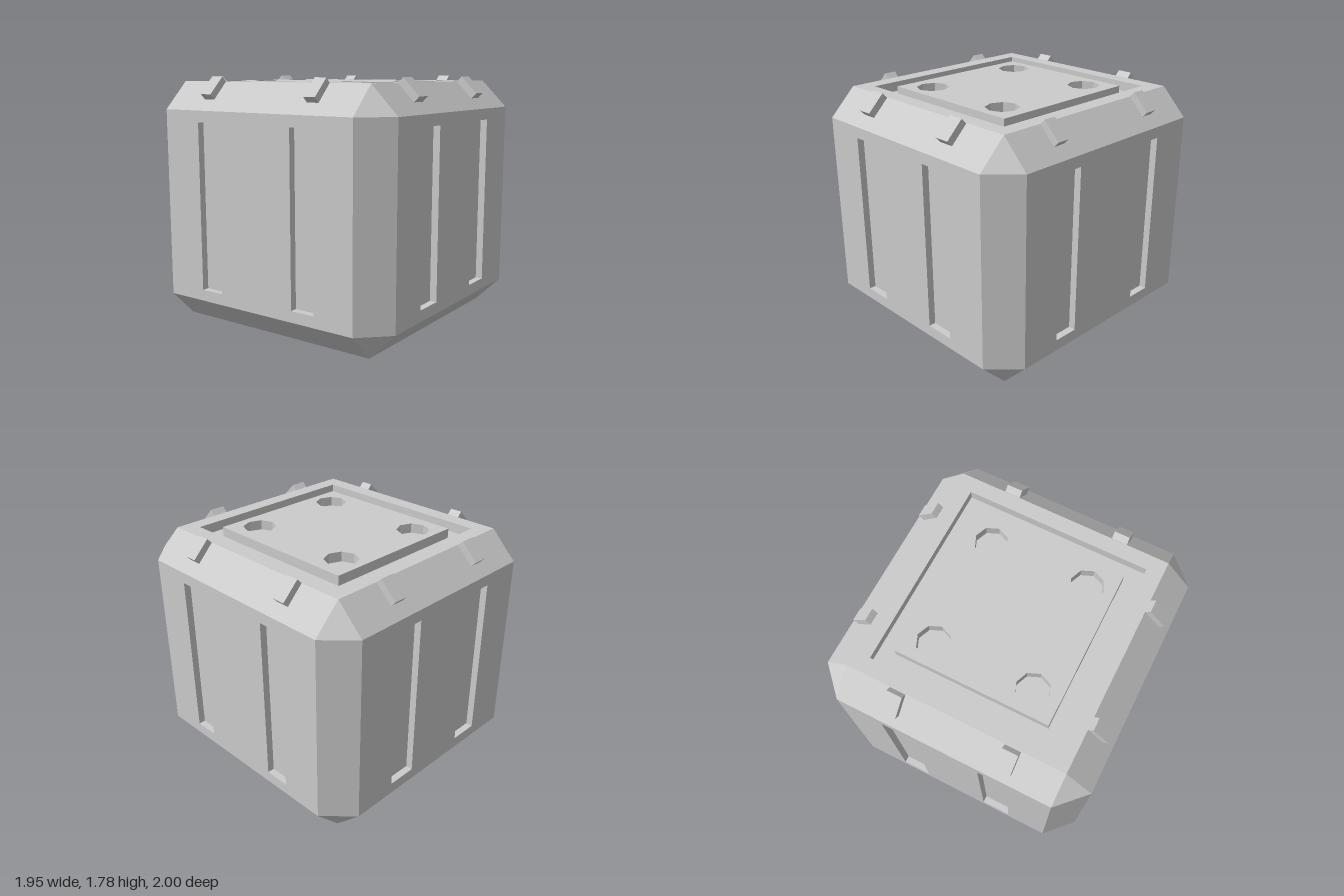
import * as THREE from 'three';

// Outer half sizes, and the half sizes of the flats left between the chamfers
const X = 0.975, Y = 0.8725, Z = 1.0;
const XI = 0.785, YI = 0.6775, ZI = 0.805;
const SLOT_DEPTH = 0.05, TOP_DEPTH = 0.07;

const material = new THREE.MeshStandardMaterial({ color: 0xcccccc, flatShading: true });

function addMesh(parent, name, geometry) {
  const mesh = new THREE.Mesh(geometry, material);
  mesh.name = name;
  parent.add(mesh);
  return mesh;
}

function rect(cx, cy, w, h, Type = THREE.Shape) {
  const s = new Type();
  s.moveTo(cx - w / 2, cy - h / 2);
  s.lineTo(cx + w / 2, cy - h / 2);
  s.lineTo(cx + w / 2, cy + h / 2);
  s.lineTo(cx - w / 2, cy + h / 2);
  s.closePath();
  return s;
}

function octagon(cx, cy, r) {
  const pts = [];
  for (let i = 0; i < 8; i++) {
    const a = (i * Math.PI) / 4;
    pts.push(new THREE.Vector2(cx + r * Math.cos(a), cy + r * Math.sin(a)));
  }
  return new THREE.Shape(pts);
}

// A plate whose face lies on local z = 0, cut through by the given pockets
function plate(parent, name, shape, pockets, depth) {
  shape.holes.push(...pockets);
  const geometry = new THREE.ExtrudeGeometry(shape, { depth, bevelEnabled: false });
  addMesh(parent, name, geometry.translate(0, 0, -depth));
}

function floor(parent, name, shape, depth) {
  addMesh(parent, name, new THREE.ShapeGeometry(shape).translate(0, 0, -depth));
}

// Chamfer strips, corner triangles and the bottom; every face is turned outwards
function chamferGeometry() {
  const position = [];
  const face = (...p) => {
    const normal = p[1].clone().sub(p[0]).cross(p[2].clone().sub(p[0]));
    if (normal.dot(p[0]) < 0) p.reverse();
    for (let i = 1; i < p.length - 1; i++) {
      for (const v of [p[0], p[i], p[i + 1]]) position.push(v.x, v.y, v.z);
    }
  };
  const px = (a, b, c) => new THREE.Vector3(a * X, b * YI, c * ZI);
  const py = (a, b, c) => new THREE.Vector3(a * XI, b * Y, c * ZI);
  const pz = (a, b, c) => new THREE.Vector3(a * XI, b * YI, c * Z);
  for (const s of [-1, 1]) {
    for (const t of [-1, 1]) {
      face(px(s, -1, t), px(s, 1, t), pz(s, 1, t), pz(s, -1, t));
      face(px(s, t, -1), px(s, t, 1), py(s, t, 1), py(s, t, -1));
      face(pz(-1, s, t), pz(1, s, t), py(1, s, t), py(-1, s, t));
      for (const u of [-1, 1]) face(px(s, t, u), py(s, t, u), pz(s, t, u));
    }
  }
  face(py(-1, -1, -1), py(1, -1, -1), py(1, -1, 1), py(-1, -1, 1));
  const g = new THREE.BufferGeometry();
  g.setAttribute('position', new THREE.Float32BufferAttribute(position, 3));
  g.computeVertexNormals();
  return g;
}

// One wall with two tall slots, and two clips on the slope above it
function side(name, angle, distance, halfWidth, slots, slotWidth, clips, clipWidth) {
  const group = new THREE.Group();
  group.name = name;
  group.rotation.y = angle;

  const wall = new THREE.Group();
  wall.name = name + 'Wall';
  wall.position.z = distance;
  group.add(wall);
  const slot = (x) => rect(x, 0, slotWidth, 1.195);
  plate(wall, 'slottedWall', rect(0, 0, 2 * halfWidth, 2 * YI), slots.map(slot), SLOT_DEPTH);
  slots.forEach((x) => floor(wall, 'slotFloor', slot(x), SLOT_DEPTH));

  for (const x of clips) {
    const clip = addMesh(group, 'clip', new THREE.BoxGeometry(clipWidth, 0.168, 0.09));
    clip.position.set(x, 0.816, distance - 0.128);
    clip.rotation.x = -Math.PI / 4;
  }
  return group;
}

// Top with a square groove around a raised lid that has four round sockets
function top() {
  const group = new THREE.Group();
  group.name = 'top';
  group.position.y = Y;
  group.rotation.x = -Math.PI / 2;

  const outer = () => rect(0, 0, 1.34, 1.39);
  const inner = () => rect(0, 0, 1.11, 1.16);
  plate(group, 'rim', rect(0, 0, 2 * XI, 2 * ZI), [outer()], TOP_DEPTH);
  const grooveFloor = outer();
  grooveFloor.holes.push(inner());
  floor(group, 'grooveFloor', grooveFloor, TOP_DEPTH);

  const sockets = [];
  for (const x of [-0.363, 0.358]) {
    for (const y of [-0.405, 0.413]) sockets.push(octagon(x, y, 0.118));
  }
  plate(group, 'lid', inner(), sockets, TOP_DEPTH);
  sockets.forEach((s) => floor(group, 'socketFloor', s, TOP_DEPTH));
  return group;
}

export function createModel() {
  const model = new THREE.Group();
  model.name = 'crate';
  const body = new THREE.Group();
  body.name = 'body';
  body.position.y = Y;
  model.add(body);

  addMesh(body, 'chamferedFrame', chamferGeometry());
  body.add(top());

  // Opposite sides mirror each other
  for (const s of [1, -1]) {
    const flip = (list) => list.map((v) => v * s);
    body.add(side(s > 0 ? 'front' : 'back', s > 0 ? 0 : Math.PI, Z, XI,
      flip([-0.367, 0.35]), 0.218, flip([-0.42, 0.4]), 0.112));
    body.add(side(s > 0 ? 'left' : 'right', (s * Math.PI) / 2, X, ZI,
      flip([-0.412, 0.398]), 0.185, flip([-0.45, 0.447]), 0.092));
  }
  return model;
}
